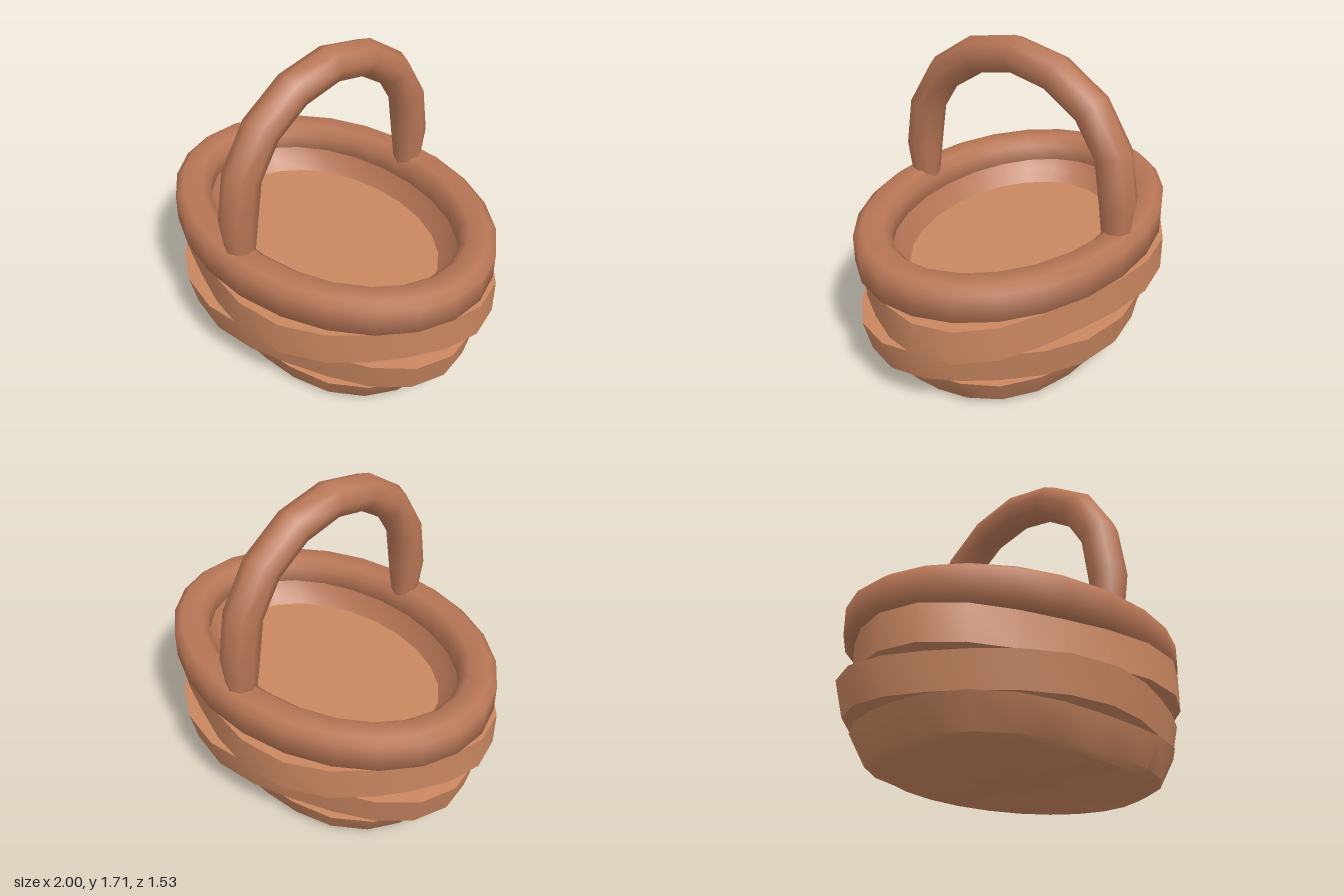
import * as THREE from 'three';
import { toCreasedNormals } from 'three/addons/utils/BufferGeometryUtils.js';

const SIDES = 24;
const rad = THREE.MathUtils.degToRad;

// Skin a stack of elliptical rings [y, radiusX, radiusZ, bulge]; bulges repeat four times round
function loft(rings, phase = 0, crease = 40) {
  const pos = [], index = [];
  for (const [y, a, b, bulge = 0] of rings) {
    for (let i = 0; i < SIDES; i++) {
      const t = ((i + 0.5) / SIDES) * Math.PI * 2;
      const r = bulge * Math.cos(4 * (t - rad(phase)));
      pos.push((a + r) * Math.cos(t), y, (b + r) * Math.sin(t));
    }
  }
  for (let j = 0; j < rings.length - 1; j++) {
    for (let i = 0; i < SIDES; i++) {
      const n = (i + 1) % SIDES, lo = j * SIDES, hi = lo + SIDES;
      if (rings[j + 1][1] !== undefined && rings[j + 1][1] > 0) index.push(lo + i, hi + i, hi + n);
      if (rings[j][1] > 0) index.push(lo + i, hi + n, lo + n);
    }
  }
  const geo = new THREE.BufferGeometry();
  geo.setAttribute('position', new THREE.Float32BufferAttribute(pos, 3));
  geo.setIndex(index);
  return toCreasedNormals(geo, rad(crease));
}

export function createModel() {
  const wicker = new THREE.MeshStandardMaterial({ color: 0xc98660 });
  wicker.name = 'light wicker';
  const trim = new THREE.MeshStandardMaterial({ color: 0xb87656 });
  trim.name = 'dark wicker';

  const basket = new THREE.Group();
  basket.name = 'basket';
  const add = (name, geo, mat) => {
    const mesh = new THREE.Mesh(geo, mat);
    mesh.name = name;
    basket.add(mesh);
  };

  // Base with the lowest woven band
  add('lowerBand', loft([
    [0, 0, 0], [0, 0.765, 0.565], [0.03, 0.825, 0.615, 0.025],
    [0.19, 0.91, 0.68, 0.035], [0.21, 0.7, 0.5],
  ], 46), wicker);

  // Two woven bands whose bulges alternate
  add('middleBand', loft([
    [0.2, 0.7, 0.5], [0.2, 0.935, 0.705, 0.035],
    [0.38, 0.975, 0.74, 0.04], [0.395, 0.75, 0.55],
  ], 106), wicker);
  add('upperBand', loft([
    [0.39, 0.75, 0.55], [0.39, 0.975, 0.74, 0.04],
    [0.58, 0.975, 0.74, 0.04], [0.585, 0.85, 0.61],
  ], 70), wicker);

  // Inner wall and floor
  add('innerWall', loft([
    [0.68, 0.81, 0.57], [0.61, 0.765, 0.535], [0.55, 0.69, 0.49],
  ], 0, 60), trim);
  add('floor', loft([[0.55, 0.69, 0.49], [0.55, 0, 0]]), wicker);

  // Thick rounded rim
  const section = [
    [-0.05, 0.59], [0.05, 0.59], [0.098, 0.62], [0.098, 0.765], [0.055, 0.8],
    [-0.05, 0.8], [-0.098, 0.755], [-0.098, 0.63], [-0.05, 0.59],
  ];
  add('rim', loft(section.map(([d, y]) => [y, 0.897 + d, 0.657 + d]), 0, 75), trim);

  // Arched handle, narrowing where it enters the rim
  const half = [[0.63, 0.7], [0.63, 0.97], [0.585, 1.22], [0.45, 1.425], [0.24, 1.56]];
  const points = [
    ...half.map(([z, y]) => new THREE.Vector3(0, y, z)),
    new THREE.Vector3(0, 1.607, 0),
    ...half.slice().reverse().map(([z, y]) => new THREE.Vector3(0, y, -z)),
  ];
  const handle = new THREE.TubeGeometry(new THREE.CatmullRomCurve3(points), 10, 0.1, 8);
  const p = handle.attributes.position;
  for (let i = 0; i < p.count; i++) {
    if (p.getY(i) > 0.8) continue;
    const z = Math.sign(p.getZ(i)) * 0.63;
    p.setX(i, p.getX(i) * 0.7);
    p.setZ(i, z + (p.getZ(i) - z) * 0.7);
  }
  handle.computeVertexNormals();
  // Match the normals along the tube's seam
  const n = handle.attributes.normal;
  for (let j = 0; j <= 10; j++) {
    const a = j * 9, b = a + 8;
    const v = new THREE.Vector3().fromBufferAttribute(n, a)
      .add(new THREE.Vector3().fromBufferAttribute(n, b)).normalize();
    n.setXYZ(a, v.x, v.y, v.z);
    n.setXYZ(b, v.x, v.y, v.z);
  }
  add('handle', handle, trim);

  return basket;
}
